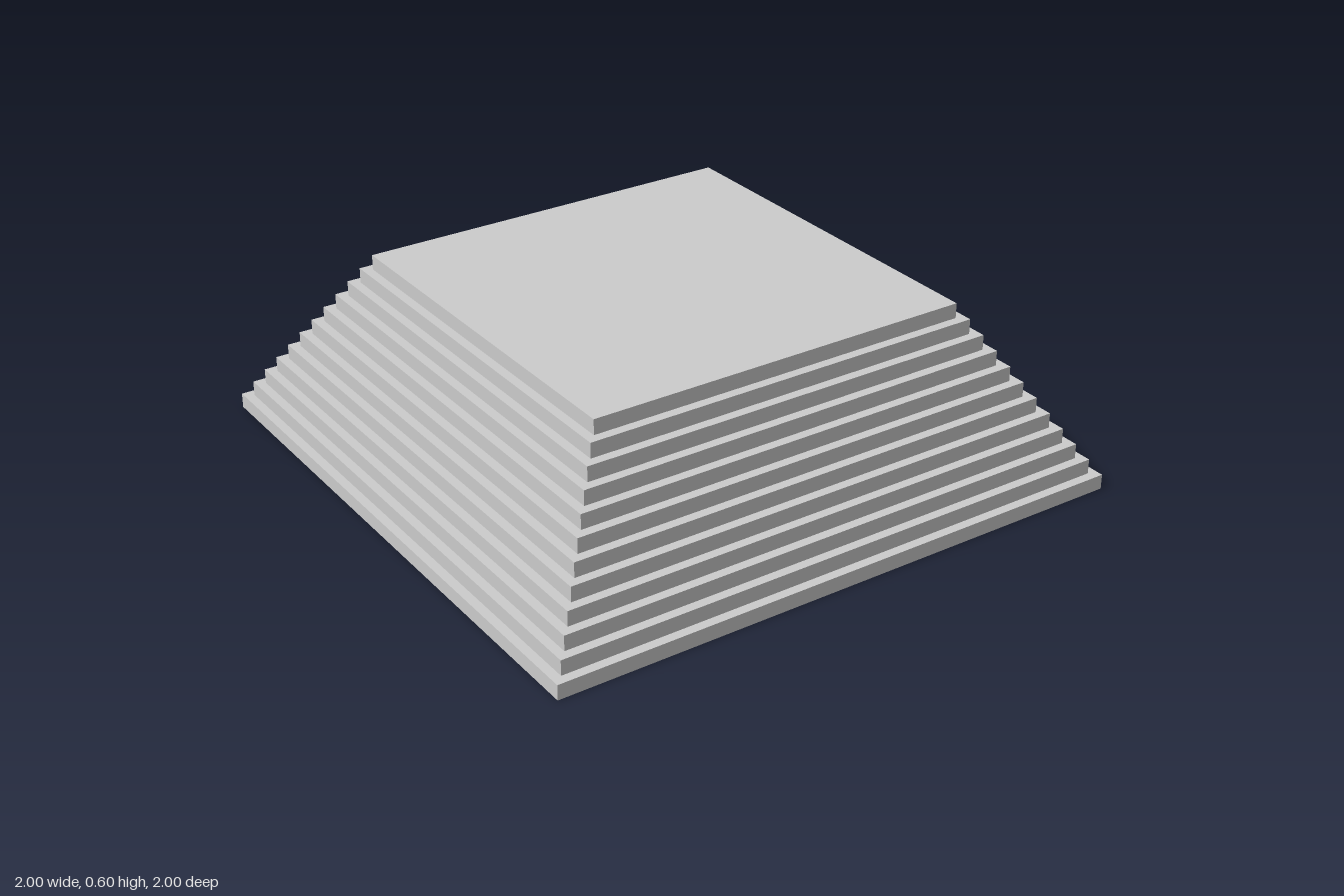
import * as THREE from 'three';

const STEPS = 12;
const STEP_HEIGHT = 0.05;
const BASE_WIDTH = 2;
const INSET = 0.03125; // how far each step sits in from the one below

export function createModel() {
  const group = new THREE.Group();
  group.name = 'steppedPyramid';
  const material = new THREE.MeshStandardMaterial({ color: 0xcccccc });

  // Square slabs stacked from the ground up, each a little narrower
  for (let i = 0; i < STEPS; i++) {
    const width = BASE_WIDTH - 2 * INSET * i;
    const step = new THREE.Mesh(new THREE.BoxGeometry(width, STEP_HEIGHT, width), material);
    step.position.y = (i + 0.5) * STEP_HEIGHT;
    step.name = i === 0 ? 'baseStep' : i === STEPS - 1 ? 'topPlatform' : `step${i + 1}`;
    group.add(step);
  }
  return group;
}
